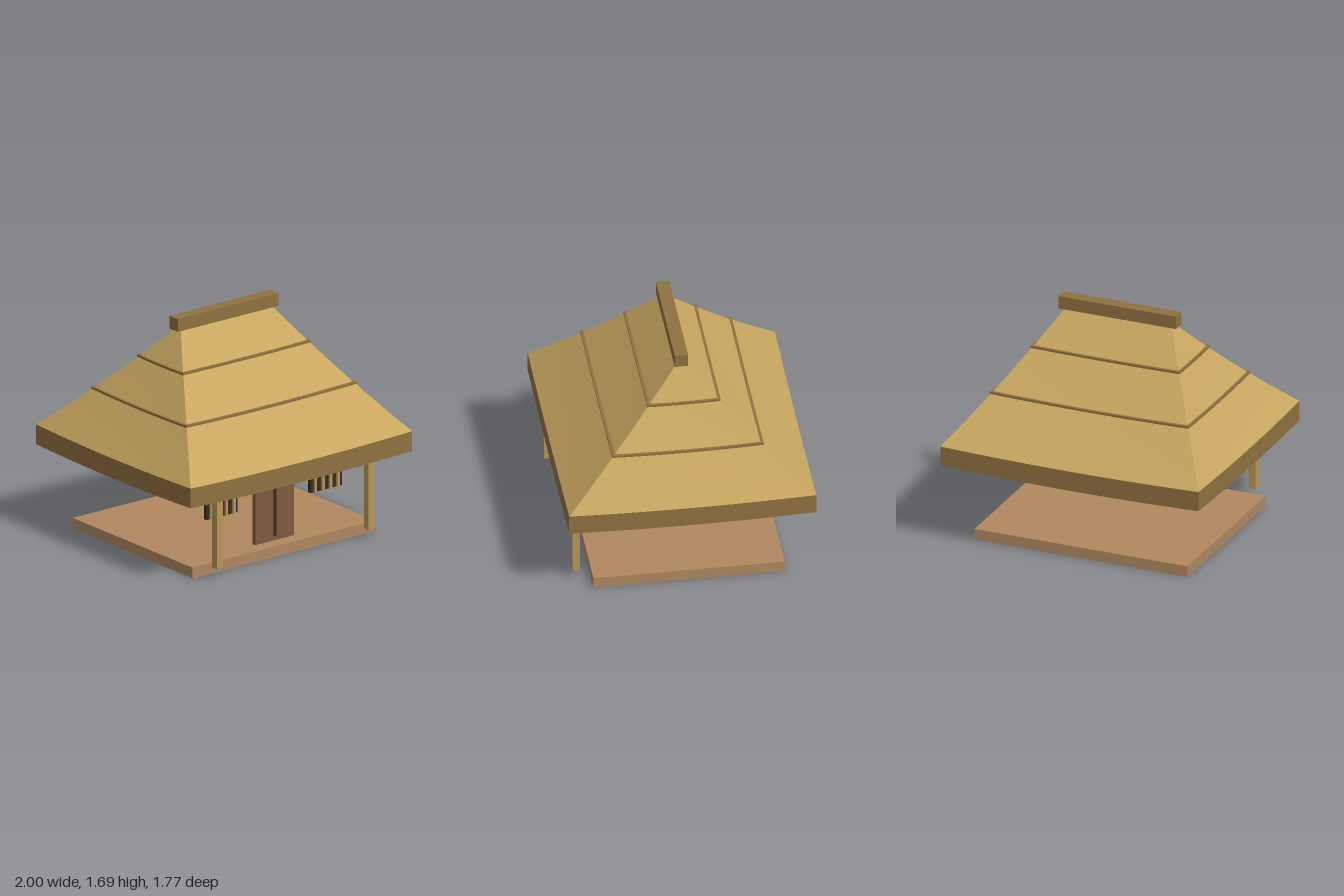
import * as THREE from 'three';

const mat = (name, color, side = THREE.FrontSide) => {
  const m = new THREE.MeshStandardMaterial({ color, side });
  m.name = name;
  return m;
};

// Roof profile: half width, half depth and height for t = 0 (eaves) to 1 (ridge)
const halfX = (t) => 0.395 + 0.605 * (1 - t);
const halfZ = (t) => 0.885 * (1 - t);
// s runs along one side from -1 to 1; the corners lift slightly
const height = (s, t) => 0.747 + 0.778 * t + 0.1 * t * t + 0.018 * s * s * (1 - t);

// Curved panel on one of four sides; rule(s, v) gives [halfX, y, halfZ]
function panel(side, rule, rows) {
  const geo = new THREE.PlaneGeometry(1, 1, 16, rows);
  const pos = geo.attributes.position;
  const uv = geo.attributes.uv;
  const sign = side < 2 ? 1 : -1;
  for (let i = 0; i < pos.count; i++) {
    const s = 2 * uv.getX(i) - 1;
    const [w, y, d] = rule(s, uv.getY(i));
    if (side % 2 === 0) pos.setXYZ(i, sign * s * w, y, sign * d);
    else pos.setXYZ(i, sign * w, y, -sign * s * d);
  }
  geo.computeVertexNormals();
  return geo;
}

export function createModel() {
  const model = new THREE.Group();
  model.name = 'thatchedHut';

  const thatch = mat('thatch', 0xc8a660, THREE.DoubleSide);
  const trim = mat('thatchTrim', 0x907140, THREE.DoubleSide);
  const post = mat('postWood', 0xb8965a);
  const stone = mat('floorClay', 0xb08860);
  const wood = mat('doorWood', 0x7f5a40);
  const dark = mat('darkOpening', 0x3a2a22);

  const add = (parent, name, geo, material) => {
    const mesh = new THREE.Mesh(geo, material);
    mesh.name = name;
    parent.add(mesh);
    return mesh;
  };
  // Box given by its lower and upper corner
  const box = (parent, name, material, a, b) => {
    const mesh = add(parent, name, new THREE.BoxGeometry(b[0] - a[0], b[1] - a[1], b[2] - a[2]), material);
    mesh.position.set((a[0] + b[0]) / 2, (a[1] + b[1]) / 2, (a[2] + b[2]) / 2);
  };
  const group = (name) => {
    const g = new THREE.Group();
    g.name = name;
    model.add(g);
    return g;
  };

  // Floor slab
  box(model, 'floorSlab', stone, [-0.825, 0, -0.685], [0.825, 0.08, 0.685]);

  // Hollow roof: slopes, eaves and binding bands on each side
  const roof = group('roof');
  const bandProfile = [[-0.012, -0.008], [0.012, -0.008], [0.012, 0.009], [-0.012, 0.009], [-0.012, -0.008]];
  for (let side = 0; side < 4; side++) {
    add(roof, 'roofSlope', panel(side, (s, t) => [halfX(t), height(s, t), halfZ(t)], 12), thatch);
    add(roof, 'eaveEdge', panel(side, (s, v) => [halfX(0), height(s, 0) - 0.148 * (1 - v), halfZ(0)], 1), trim);
    for (const t of [0.4, 0.717]) {
      for (let k = 0; k < 4; k++) {
        const [o0, y0] = bandProfile[k];
        const [o1, y1] = bandProfile[k + 1];
        add(roof, 'roofBand', panel(side, (s, v) => {
          const o = o0 + (o1 - o0) * v;
          return [halfX(t) + o, height(s, t) + y0 + (y1 - y0) * v, halfZ(t) + o];
        }, 1), trim);
      }
    }
  }
  box(roof, 'ridgeBeam', trim, [-0.455, 1.595, -0.048], [0.455, 1.69, 0.048]);

  // Door with centre gap
  const door = group('door');
  box(door, 'doorPanel', wood, [-0.176, 0.08, 0.546], [0.176, 0.77, 0.58]);
  box(door, 'doorGap', dark, [-0.01, 0.115, 0.578], [0.01, 0.735, 0.586]);

  // Porch posts and barred windows, mirrored
  for (const side of [-1, 1]) {
    const px = side * 0.686;
    box(model, side > 0 ? 'leftPost' : 'rightPost', post, [px - 0.027, 0.08, 0.765], [px + 0.027, 0.76, 0.82]);
    const win = group(side > 0 ? 'leftWindow' : 'rightWindow');
    const wx = side * 0.47;
    box(win, 'windowOpening', dark, [wx - 0.142, 0.36, 0.546], [wx + 0.142, 0.585, 0.572]);
    for (let i = 0; i < 4; i++) {
      const bx = wx + (i - 1.5) * 0.068;
      box(win, 'windowBar', post, [bx - 0.011, 0.36, 0.564], [bx + 0.011, 0.585, 0.586]);
    }
  }
  return model;
}
